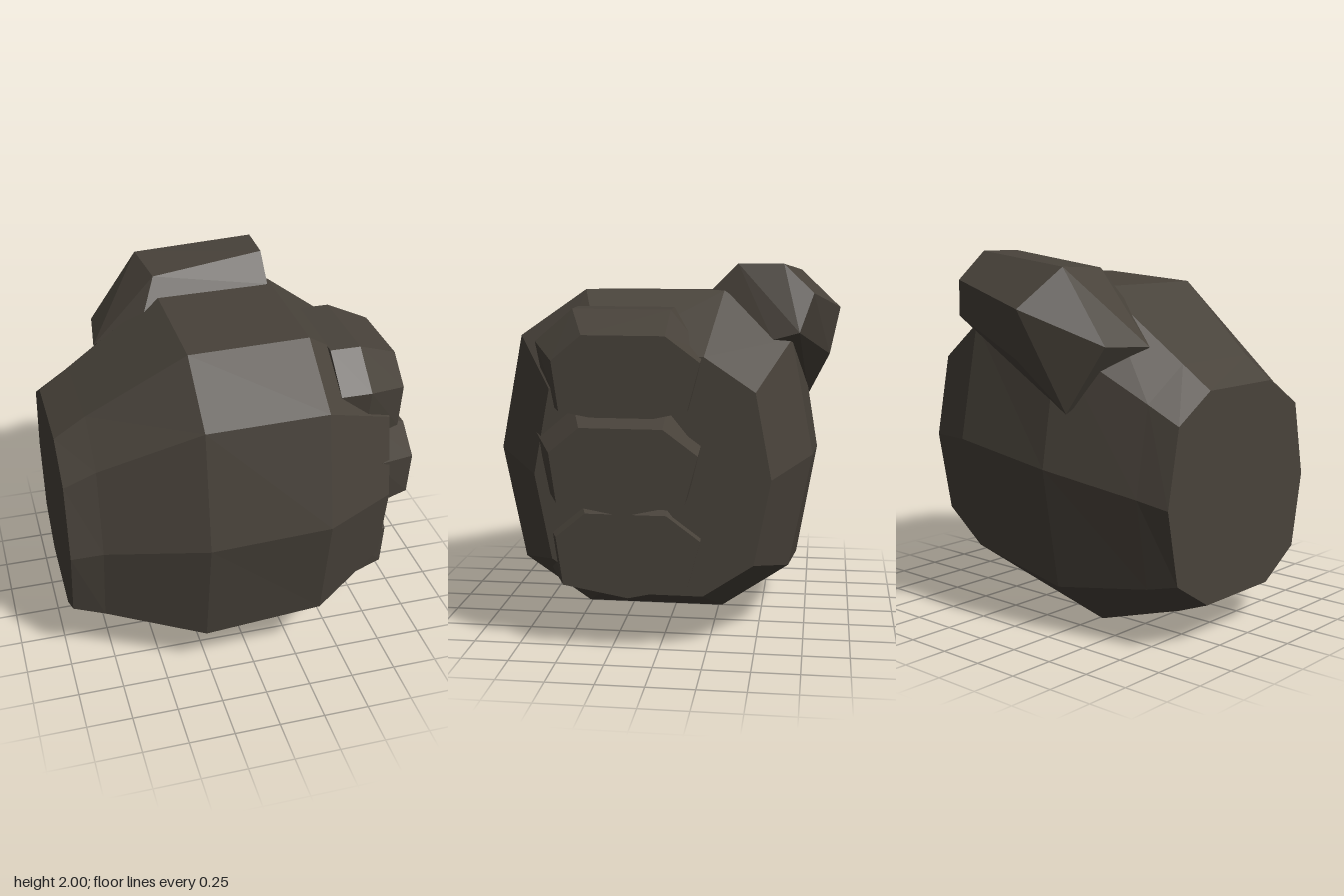
import * as THREE from 'three';
import { ConvexGeometry } from 'three/addons/geometries/ConvexGeometry.js';

// Closed skin through rings of [x, y, z] points, ordered by rising x.
function loft(rings) {
  const pos = [];
  const tri = (a, b, c) => pos.push(...a, ...b, ...c);
  const n = rings[0].length;
  for (let r = 0; r < rings.length - 1; r++) {
    for (let i = 0; i < n; i++) {
      const j = (i + 1) % n;
      const [a, b, c, d] = [rings[r][i], rings[r][j], rings[r + 1][j], rings[r + 1][i]];
      tri(a, b, c);
      tri(a, c, d);
    }
  }
  const first = rings[0], last = rings[rings.length - 1];
  for (let i = 1; i < n - 1; i++) {
    tri(last[0], last[i], last[i + 1]);
    tri(first[0], first[i + 1], first[i]);
  }
  const g = new THREE.BufferGeometry();
  g.setAttribute('position', new THREE.Float32BufferAttribute(pos, 3));
  g.computeVertexNormals();
  return g;
}

// Ten-sided palm section: five heights (top to bottom), centre z and three half depths.
function palmRing([x, ys, zc, wide, mid, narrow]) {
  const depths = [narrow, mid, wide, mid, narrow];
  const front = ys.map((y, i) => [x, y, zc + depths[i]]);
  const back = ys.map((y, i) => [x, y, zc - depths[i]]).reverse();
  return [...front, ...back];
}

export function createModel() {
  const group = new THREE.Group();
  const leather = new THREE.MeshStandardMaterial({ color: 0x48423a, flatShading: true });
  leather.name = 'dark leather';
  const add = (name, geometry) => {
    const mesh = new THREE.Mesh(geometry, leather);
    mesh.name = name;
    group.add(mesh);
  };

  // Palm, swelling from the wrist and tapering to the knuckles
  add('palm', loft([
    [-0.96, [1.33, 1.18, 0.775, 0.375, 0.22], -0.045, 0.595, 0.515, 0.265],
    [-0.79, [1.45, 1.275, 0.81, 0.335, 0.155], -0.04, 0.635, 0.55, 0.275],
    [-0.27, [1.82, 1.56, 0.91, 0.265, 0], 0.025, 0.825, 0.715, 0.365],
    [0.36, [1.86, 1.61, 0.99, 0.37, 0.125], 0.07, 0.85, 0.73, 0.37],
    [0.79, [1.56, 1.385, 0.94, 0.49, 0.315], 0.03, 0.61, 0.525, 0.265],
  ].map(palmRing)));

  // Curled fingers: [z, y] profiles measured from the top of the end face
  const facePts = [[0.37, 0], [0.525, -0.13], [0.49, -0.385], [0.15, -0.445],
    [-0.16, -0.375], [-0.225, -0.13], [-0.05, 0]];
  const rootPts = [[0.46, 0.11], [0.66, -0.06], [0.6, -0.375], [0.15, -0.47],
    [-0.155, -0.38], [-0.22, -0.1], [-0.05, 0.11]];
  const at = (pts, x, top) => pts.map(([z, y]) => [x, top + y, z]);
  [
    ['upperFinger', 0.47, 0.635, 0.87, 1.67],
    ['middleFinger', 0.6, 0.69, 0.96, 1.22],
    ['lowerFinger', 0.5, 0.58, 0.835, 0.75],
  ].forEach(([name, inner, knuckle, end, top]) => {
    const start = name === 'upperFinger' ? [at(rootPts, inner, top)] : [];
    add(name, loft([...start, at(rootPts, knuckle, top), at(facePts, end, top)]));
  });

  // Thumb lying across the upper back: tip, bend and root
  const thumb = [
    [0.34, 2.0, -0.37], [0.345, 2.0, -0.61], [0.37, 1.85, -0.77],
    [0.45, 1.65, -0.7], [0.44, 1.61, -0.56], [0.34, 1.86, -0.23],
    [-0.315, 1.935, -0.69], [-0.28, 1.92, -0.365], [-0.21, 1.73, -0.915],
    [-0.15, 1.47, -0.86], [-0.36, 1.75, -0.26],
    [-0.63, 1.53, -0.385], [-0.59, 1.55, -0.68], [-0.38, 1.2, -0.74],
  ].map((p) => new THREE.Vector3(...p));
  add('thumb', new ConvexGeometry(thumb));

  return group;
}
